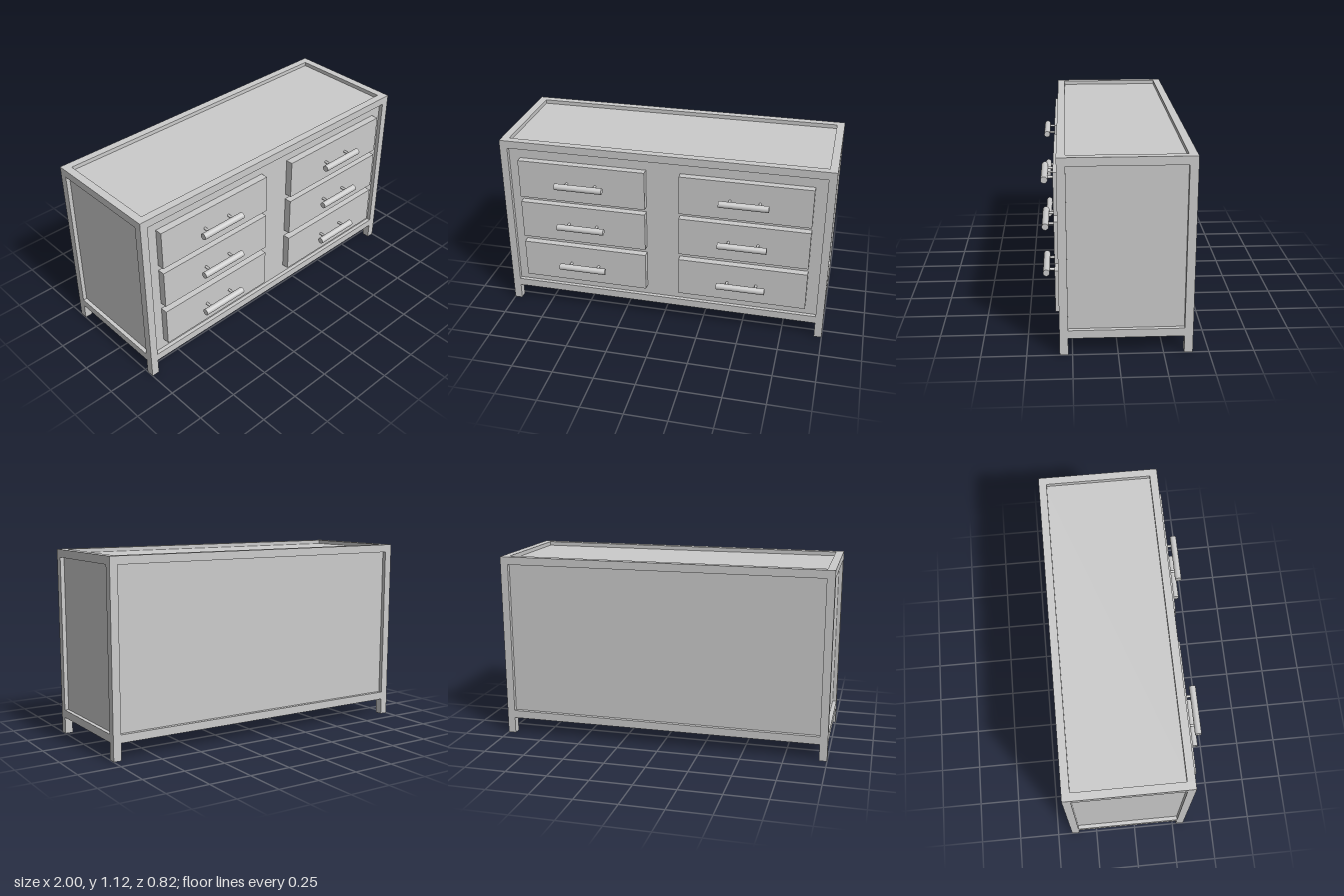
import * as THREE from 'three';

const grey = new THREE.MeshStandardMaterial({ color: 0xcccccc });

// Box given by its minimum and maximum corners
function box(name, [x0, y0, z0], [x1, y1, z1]) {
  const mesh = new THREE.Mesh(new THREE.BoxGeometry(x1 - x0, y1 - y0, z1 - z0), grey);
  mesh.name = name;
  mesh.position.set((x0 + x1) / 2, (y0 + y1) / 2, (z0 + z1) / 2);
  return mesh;
}

function rod(name, radius, length, segments) {
  const mesh = new THREE.Mesh(new THREE.CylinderGeometry(radius, radius, length, segments), grey);
  mesh.name = name;
  return mesh;
}

// Bar handle on two posts, with its origin on the drawer face
function createHandle() {
  const handle = new THREE.Group();
  handle.name = 'handle';
  const bar = rod('handleBar', 0.0195, 0.292, 32);
  bar.rotation.z = Math.PI / 2;
  bar.position.z = 0.053;
  handle.add(bar);
  for (const side of [-1, 1]) {
    const post = rod('handlePost', 0.008, 0.055, 16);
    post.rotation.x = Math.PI / 2;
    post.position.set(side * 0.088, 0, 0.0255);
    handle.add(post);
  }
  return handle;
}

export function createModel() {
  const dresser = new THREE.Group();
  dresser.name = 'dresser';

  const bar = 0.047, recess = 0.024;
  const back = -0.41, front = 0.32, bottom = 0.1, top = 1.122;

  // Recessed body panels inside the frame
  dresser.add(box('body',
    [-1 + recess, bottom + recess, back + recess],
    [1 - recess, top - recess, front - recess]));

  // Corner posts, which run down into the legs
  for (const x of [-1, 1 - bar])
    for (const z of [back, front - bar])
      dresser.add(box('cornerPost', [x, 0, z], [x + bar, top, z + bar]));

  // Top and bottom rails between the posts
  for (const y of [bottom, top - bar]) {
    for (const z of [back, front - bar])
      dresser.add(box('longRail', [-1 + bar, y, z], [1 - bar, y + bar, z + bar]));
    for (const x of [-1, 1 - bar])
      dresser.add(box('sideRail', [x, y, back + bar], [x + bar, y + bar, front - bar]));
  }

  // Two columns of three drawers
  const face = 0.34;
  for (const side of [-1, 1])
    for (const y of [0.329, 0.612, 0.889]) {
      const drawer = new THREE.Group();
      drawer.name = 'drawer';
      drawer.position.set(side * 0.494, y, face);
      drawer.add(box('drawerFront', [-0.391, -0.121, -0.06], [0.391, 0.121, 0]));
      drawer.add(createHandle());
      dresser.add(drawer);
    }

  return dresser;
}
